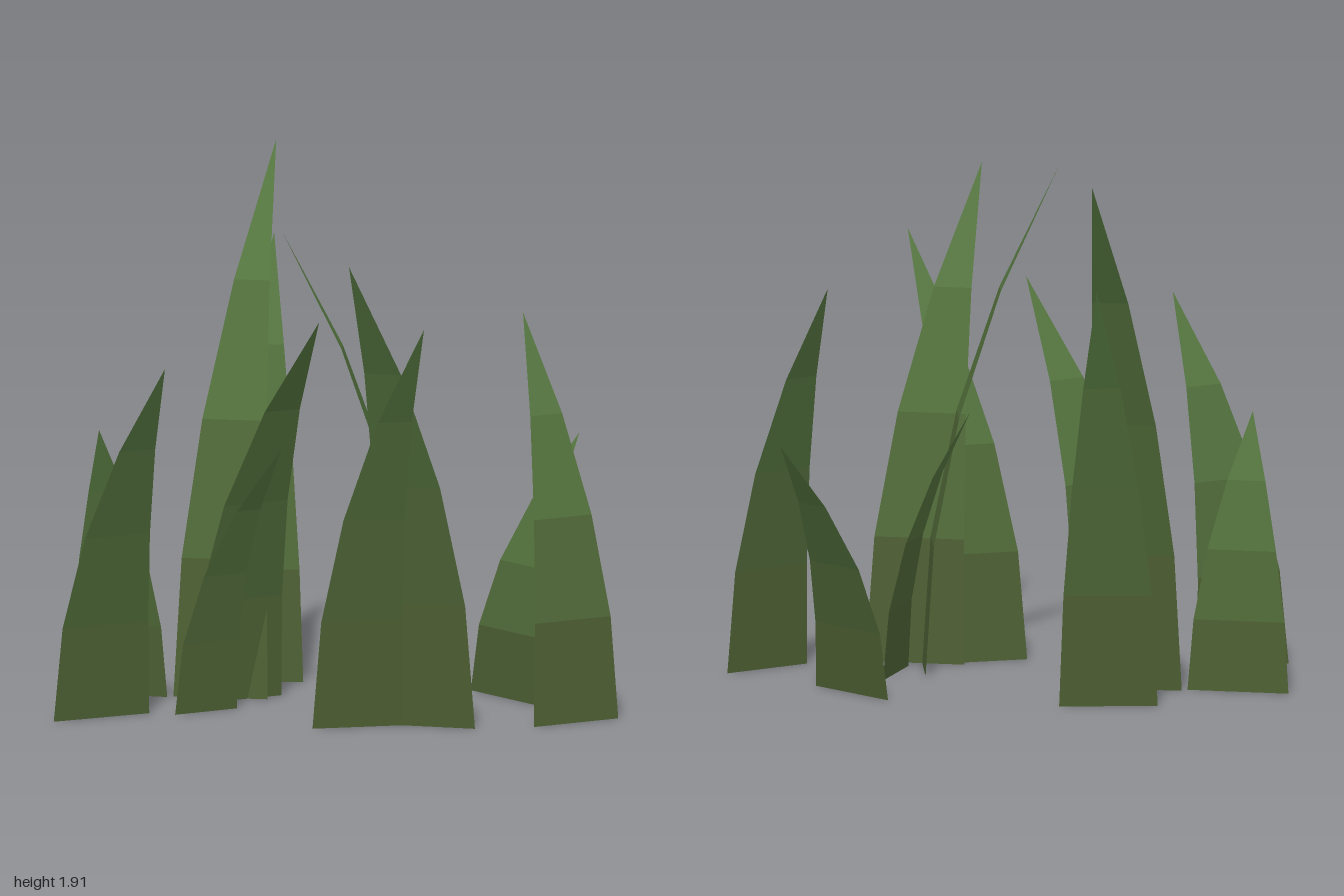
import * as THREE from 'three';

const SEGMENTS = 4;

// Blade colours from the root to the tip
const materials = [
  ['rootGreen', 0x4d5f33],
  ['lowerGreen', 0x4f6838],
  ['upperGreen', 0x52703c],
  ['tipGreen', 0x557640],
].map(([name, color]) => {
  const m = new THREE.MeshStandardMaterial({ color, side: THREE.DoubleSide, flatShading: true });
  m.name = name;
  return m;
});

// Each blade: root corner (x, z), other root corner (x, z), tip (x, z), height
const blades = [
  [-0.54, -0.53, -0.19, -0.55, -0.33, -0.95, 1.555],
  [-0.62, -0.18, -0.28, -0.14, -0.31, -0.81, 1.91],
  [-0.55, 0.01, -0.24, -0.24, -0.06, 0.267, 1.42],
  [-0.575, 0.25, -0.37, 0.08, -0.185, 0.353, 0.98],
  [-1.0, -0.245, -0.64, -0.16, -0.87, -0.01, 0.98],
  [-0.99, 0.45, -0.67, 0.22, -0.575, 0.655, 1.305],
  [0.42, -0.415, 0.68, -0.09, 0.8, -0.488, 0.92],
  [1.0, 0.19, 0.72, 0.42, 0.64, -0.035, 1.42],
  [0.445, 0.03, 0.36, 0.37, 0.135, 0.16, 0.95],
  [0.295, 0.13, 0.312, 0.445, -0.175, 0.485, 1.785],
  [0.515, 0.48, 0.16, 0.4, 0.107, 0.94, 1.725],
  [-0.06, 0.53, 0.25, 0.42, 0.37, 0.885, 1.495],
];

// A flat strip that narrows and leans further over as it rises
function bladeGeometry([ax, az, bx, bz, tx, tz, height]) {
  const cx = (ax + bx) / 2, cz = (az + bz) / 2;
  const row = (i) => {
    const t = i / SEGMENTS;
    const lean = t * t;
    const half = (1 - Math.pow(t, 1.65)) / 2;
    const x = cx + (tx - cx) * lean, z = cz + (tz - cz) * lean;
    const y = height * (1.04 * t - 0.04 * t * t);
    return [
      [x + (ax - bx) * half, y, z + (az - bz) * half],
      [x - (ax - bx) * half, y, z - (az - bz) * half],
    ];
  };
  const positions = [];
  const geometry = new THREE.BufferGeometry();
  for (let i = 0; i < SEGMENTS; i++) {
    const [a, b] = row(i), [d, c] = row(i + 1);
    const start = positions.length / 3;
    positions.push(...a, ...b, ...c);
    if (i < SEGMENTS - 1) positions.push(...a, ...c, ...d);
    geometry.addGroup(start, positions.length / 3 - start, i);
  }
  geometry.setAttribute('position', new THREE.Float32BufferAttribute(positions, 3));
  geometry.computeVertexNormals();
  return geometry;
}

export function createModel() {
  const group = new THREE.Group();
  group.name = 'grassTuft';
  blades.forEach((blade, i) => {
    const mesh = new THREE.Mesh(bladeGeometry(blade), materials);
    mesh.name = `grassBlade${i + 1}`;
    group.add(mesh);
  });
  return group;
}
